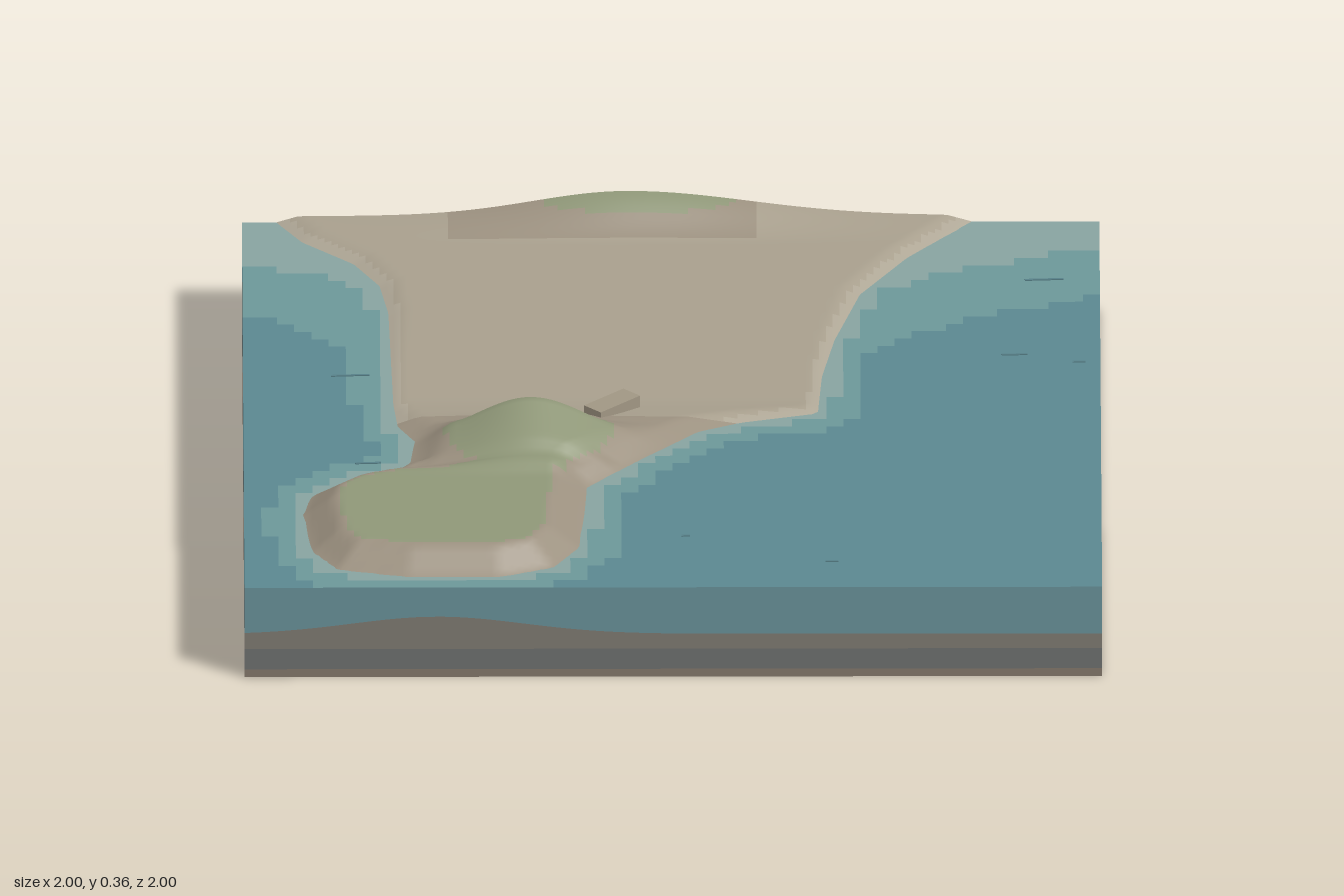
import * as THREE from 'three';

const SEA = 0.23;
const COAST = [
  [-0.98, -1.3], [-0.92, -1], [-0.86, -0.89], [-0.74, -0.77], [-0.68, -0.65], [-0.66, -0.5], [-0.65, 0], [-0.64, 0.12],
  [-0.6, 0.2], [-0.61, 0.32], [-0.66, 0.38], [-0.76, 0.42], [-0.84, 0.5], [-0.86, 0.6], [-0.84, 0.8],
  [-0.78, 0.9], [-0.62, 0.94], [-0.4, 0.94], [-0.28, 0.89], [-0.22, 0.78], [-0.2, 0.45], [-0.1, 0.33],
  [0.06, 0.15], [0.16, 0.1], [0.34, 0.05], [0.35, -0.15], [0.38, -0.35], [0.44, -0.6], [0.55, -0.8],
  [0.7, -1], [0.85, -1.3],
];
// z, height of the ridge crest above the low ground
const RIDGE = [[0.08, 0], [0.15, 0.02], [0.17, 0.05], [0.23, 0.11], [0.32, 0.085], [0.37, 0.07], [0.43, 0.03], [0.48, 0]];

const mat = (color) => new THREE.MeshStandardMaterial({ color, roughness: 0.9 });
const ramp = (a, b, v) => {
  const t = THREE.MathUtils.clamp((v - a) / (b - a), 0, 1);
  return t * t * (3 - 2 * t);
};
const bell = (v, s) => Math.exp(-(v * v) / (2 * s * s));

// Signed distance to the coast, positive on land
function coastDistance(x, z) {
  let best = Infinity, inside = false;
  COAST.forEach(([ax, az], i) => {
    const [bx, bz] = COAST[(i + 1) % COAST.length];
    const dx = bx - ax, dz = bz - az;
    const t = THREE.MathUtils.clamp(((x - ax) * dx + (z - az) * dz) / (dx * dx + dz * dz), 0, 1);
    best = Math.min(best, Math.hypot(x - ax - t * dx, z - az - t * dz));
    if ((az > z) !== (bz > z) && x < ax + ((z - az) * dx) / dz) inside = !inside;
  });
  return inside ? best : -best;
}

function ridgeHeight(z) {
  for (let i = 1; i < RIDGE.length; i++) {
    const [z0, h0] = RIDGE[i - 1], [z1, h1] = RIDGE[i];
    if (z >= z0 && z <= z1) return h0 + ((h1 - h0) * (z - z0)) / (z1 - z0);
  }
  return 0;
}

function landHeight(x, z) {
  const d = coastDistance(x, z);
  if (d <= 0) return SEA + Math.max(d * 0.35, -0.03);
  const low = 0.006 + 0.01 * ramp(0, -0.85, z) + 0.014 * ramp(-0.02, 0.14, z);
  const plateau = 0.05 * ramp(0.36, 0.46, z);
  const ridge = ridgeHeight(z) * bell(x + 0.33, 0.13) * Math.min(1, d / 0.08);
  const back = 0.064 * bell(x + 0.1, x < -0.1 ? 0.22 : 0.28) * ramp(-0.85, -1, z);
  return SEA + Math.min(Math.max(low, plateau), d * (z > 0.36 ? 0.7 : 0.35)) + ridge + back;
}

const seabed = (x, z) => 0.11 + 0.1 * ramp(-0.1, -1, z) + 0.045 * bell(x + 0.55, 0.2) * ramp(0.5, 1, z);

// Grid of cells, sorted into one mesh per surface class
function classedGrid(n, height, classify, materials) {
  const grid = new THREE.PlaneGeometry(2, 2, n, n).rotateX(-Math.PI / 2);
  const pos = grid.attributes.position, index = grid.index.array;
  for (let i = 0; i < pos.count; i++) pos.setY(i, height(pos.getX(i), pos.getZ(i)));
  grid.computeVertexNormals();
  const sets = {};
  for (let i = 0; i < index.length; i += 6) {
    const cell = Array.from(index.slice(i, i + 6));
    const mean = (get) => cell.reduce((s, k) => s + get(k), 0) / 6;
    const top = Math.max(...cell.map((k) => pos.getY(k)));
    const name = classify(mean((k) => pos.getX(k)), mean((k) => pos.getZ(k)), top);
    if (name) (sets[name] ??= []).push(...cell);
  }
  return Object.entries(sets).map(([name, cells]) => {
    const part = grid.clone();
    part.setIndex(cells);
    const mesh = new THREE.Mesh(part.toNonIndexed(), materials[name]);
    mesh.name = name;
    return mesh;
  });
}

// Strip of wall between two height rules along all four sides
function wallLayer(name, color, bottom, top) {
  const corners = [[-1, 1], [1, 1], [1, -1], [-1, -1]], n = 60, verts = [];
  corners.forEach(([ax, az], s) => {
    const [bx, bz] = corners[(s + 1) % 4];
    const at = (t) => [ax + (bx - ax) * t, az + (bz - az) * t];
    for (let i = 0; i < n; i++) {
      const [x0, z0] = at(i / n), [x1, z1] = at((i + 1) / n);
      const a = [x0, bottom(x0, z0), z0], b = [x1, bottom(x1, z1), z1];
      const c = [x1, top(x1, z1), z1], e = [x0, top(x0, z0), z0];
      verts.push(...a, ...b, ...c, ...a, ...c, ...e);
    }
  });
  const geo = new THREE.BufferGeometry();
  geo.setAttribute('position', new THREE.Float32BufferAttribute(verts, 3));
  geo.computeVertexNormals();
  const mesh = new THREE.Mesh(geo, mat(color));
  mesh.name = name;
  return mesh;
}

export function createModel() {
  const group = new THREE.Group();
  const add = (name, geo, color, x, y, z, ry = 0) => {
    const mesh = new THREE.Mesh(geo, mat(color));
    mesh.name = name;
    mesh.position.set(x, y, z);
    mesh.rotation.y = ry;
    group.add(mesh);
    return mesh;
  };

  // Land: sand flats, pale beach, grassy tops and bare slopes
  group.add(...classedGrid(125, landHeight, (x, z, top) => {
    if (top <= SEA) return null;
    const d = coastDistance(x, z);
    if (z > 0.46) return d > 0.08 ? 'grass' : 'slope';
    if (z > 0.16 && top > 0.285 && x < -0.14) return 'grass';
    if (z < -0.93 && top > 0.29) return 'grass';
    if (z < -0.87 && x > -0.52 && x < 0.2) return 'slope';
    if (z > 0.1) return 'slope';
    return d < 0.025 ? 'beach' : 'sand';
  }, { sand: mat(0xa89f8d), beach: mat(0xafa796), grass: mat(0x8f9778), slope: mat(0x9c9180) }));

  // Water: stepped bands from the shore to the deep
  group.add(...classedGrid(50, () => SEA, (x, z) => {
    const d = coastDistance(x, z);
    if (d > 0.06) return null;
    if (-d < 0.035 + 0.4 * ramp(-0.6, -1, z)) return 'shoreWater';
    if (-d < 0.09 + 0.5 * ramp(-0.25, -0.75, z)) return 'shallowWater';
    return 'deepWater';
  }, { shoreWater: mat(0x87a3a0), shallowWater: mat(0x6c9799), deepWater: mat(0x5b8790) }));

  // Cut sides with layered ground
  const level = (y) => () => y;
  const ground = (x, z) => Math.max(seabed(x, z), landHeight(x, z) > SEA ? landHeight(x, z) : 0);
  group.add(
    wallLayer('lowerStratum', 0x85796c, level(0), level(0.02)),
    wallLayer('rockStratum', 0x6f7170, level(0.02), level(0.072)),
    wallLayer('soilStratum', 0x7f7b73, level(0.072), ground),
    wallLayer('waterSide', 0x6a929a, ground, (x, z) => Math.max(SEA, ground(x, z))),
  );
  add('underside', new THREE.PlaneGeometry(2, 2).rotateX(Math.PI / 2), 0x4a443e, 0, 0, 0);

  // Low hut where the spit begins
  add('hut', new THREE.BoxGeometry(0.13, 0.03, 0.055), 0xa09683, -0.14, 0.254, 0.06, Math.PI / 4);

  // Small marker by the ridge
  for (const s of [-1, 1]) {
    add('marker', new THREE.BoxGeometry(0.005, 0.022, 0.005), 0x5a564c, -0.19 + s * 0.005, 0.265, 0.2)
      .rotation.z = -s * 0.4;
  }

  // Ripples on the water
  const ripples = [[0.87, -0.68, 0.09], [-0.75, -0.16, 0.09], [0.8, -0.27, 0.06], [0.95, -0.23, 0.03],
    [-0.71, 0.32, 0.06], [0.03, 0.72, 0.02], [0.37, 0.86, 0.03]];
  for (const [x, z, length] of ripples) {
    add('ripple', new THREE.BoxGeometry(length, 0.003, 0.006), 0x567f87, x, SEA + 0.001, z, 0.06);
  }
  return group;
}
